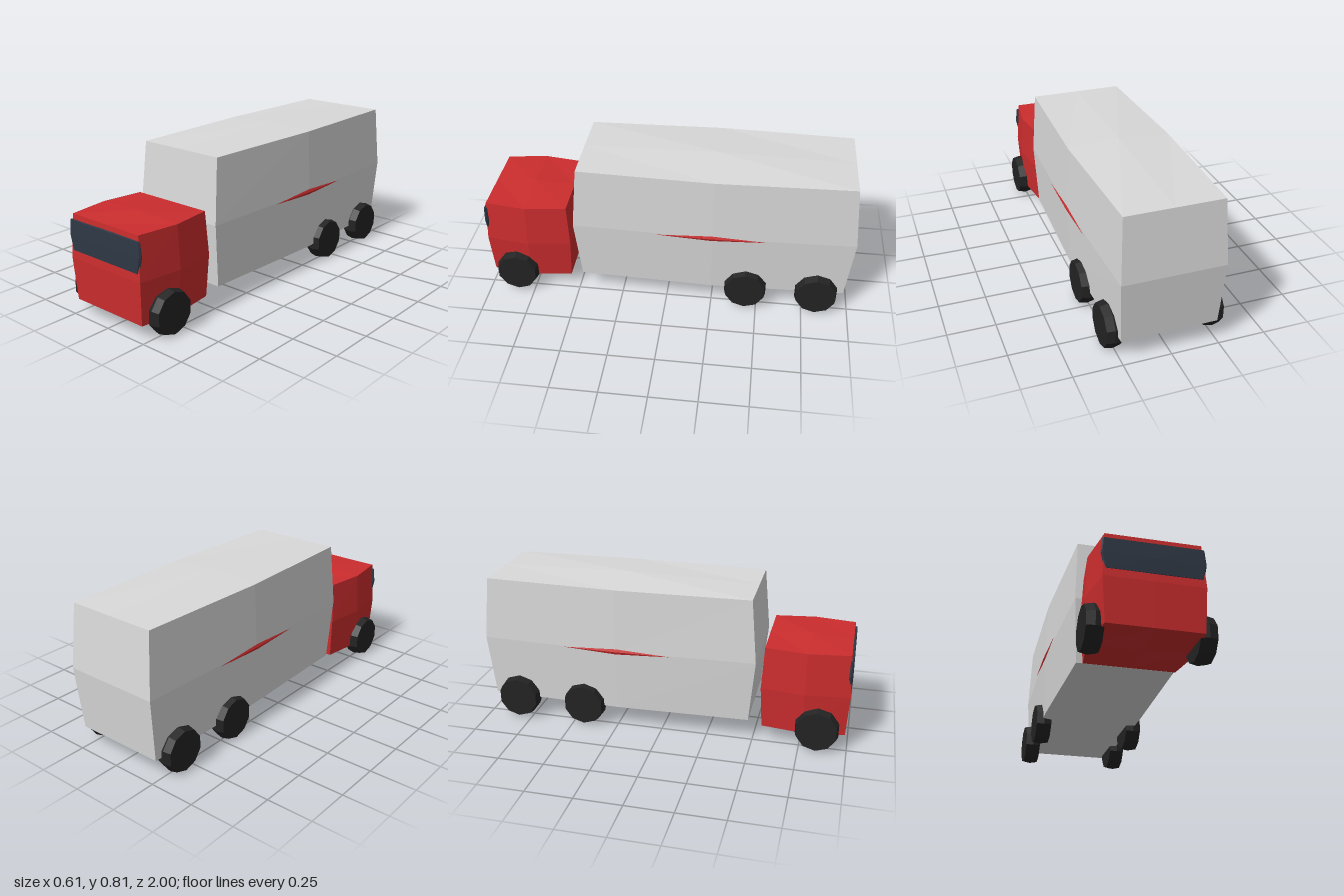
import * as THREE from 'three';

const material = (name, color) => {
  const m = new THREE.MeshStandardMaterial({ color });
  m.name = name;
  m.flatShading = true;
  return m;
};

// A box of 2 x 2 x 2 segments whose faces swell towards their middles.
// xMidHeight, xMidLength: extra half width there; yMid: rise of top and bottom centres;
// zMid: rise of the end faces at mid height; taper: extra width at the top.
function swollenBox(hx, hy, hz, { xMidHeight, xMidLength, yMid, zMid, taper = 0 }) {
  const g = new THREE.BoxGeometry(2, 2, 2, 2, 2, 2);
  const p = g.attributes.position;
  for (let n = 0; n < p.count; n++) {
    const i = Math.round(p.getX(n)), j = Math.round(p.getY(n)), k = Math.round(p.getZ(n));
    const x = hx + (j === 0 ? xMidHeight : 0) + (k === 0 ? xMidLength : 0) + taper * j;
    const y = hy + (i === 0 && k === 0 ? yMid : 0);
    const z = hz + (j === 0 ? zMid : 0);
    p.setXYZ(n, i * x, j * y, k * z);
  }
  g.computeVertexNormals();
  return g;
}

// Ten-sided wheel with a slightly fatter tread line, axle along x
function wheelGeometry() {
  const g = new THREE.CylinderGeometry(0.11, 0.11, 0.083, 10, 2, false, Math.PI / 2);
  const p = g.attributes.position;
  for (let n = 0; n < p.count; n++) {
    const r = Math.hypot(p.getX(n), p.getZ(n));
    if (Math.abs(p.getY(n)) < 0.001 && r > 0.05) {
      p.setX(n, p.getX(n) * 0.119 / r);
      p.setZ(n, p.getZ(n) * 0.119 / r);
    }
  }
  g.rotateZ(Math.PI / 2);
  g.computeVertexNormals();
  return g;
}

export function createModel() {
  const truck = new THREE.Group();
  truck.name = 'truck';
  const grey = material('cargoGrey', 0xd9d9d9);
  const red = material('cabRed', 0xcc2d2e);
  const glass = material('darkGlass', 0x2f3845);
  const rubber = material('tyreBlack', 0x232323);

  const add = (name, geometry, mat, x, y, z) => {
    const mesh = new THREE.Mesh(geometry, mat);
    mesh.name = name;
    mesh.position.set(x, y, z);
    truck.add(mesh);
    return mesh;
  };

  // Cargo box
  add('cargoBox', swollenBox(0.25, 0.341, 0.7215,
    { xMidHeight: 0.015, xMidLength: 0.023, yMid: 0.016, zMid: 0.031 }), grey, 0, 0.459, -0.2475);

  // Cab and windscreen
  add('cab', swollenBox(0.232, 0.228, 0.22,
    { xMidHeight: 0.013, xMidLength: 0.03, yMid: 0.012, zMid: 0.012 }), red, 0, 0.313, 0.766);
  add('windscreen', swollenBox(0.233, 0.079, 0.008,
    { xMidHeight: 0.012, xMidLength: 0.007, yMid: 0.003, zMid: 0.002, taper: 0.005 }),
    glass, 0, 0.433, 0.99);

  // Slim pointed side stripes
  const stripe = new THREE.OctahedronGeometry(1, 0);
  stripe.scale(0.006, 0.015, 0.295);
  // Wheels, one axle at the cab and two at the rear
  const wheel = wheelGeometry();
  for (const [side, s] of [['left', 1], ['right', -1]]) {
    add(side + 'Stripe', stripe, red, s * 0.288, 0.458, -0.2425);
    [['Front', 0.84], ['Middle', -0.435], ['Rear', -0.82]].forEach(([axle, z]) =>
      add(side + axle + 'Wheel', wheel, rubber, s * 0.264, 0.122, z));
  }
  return truck;
}
